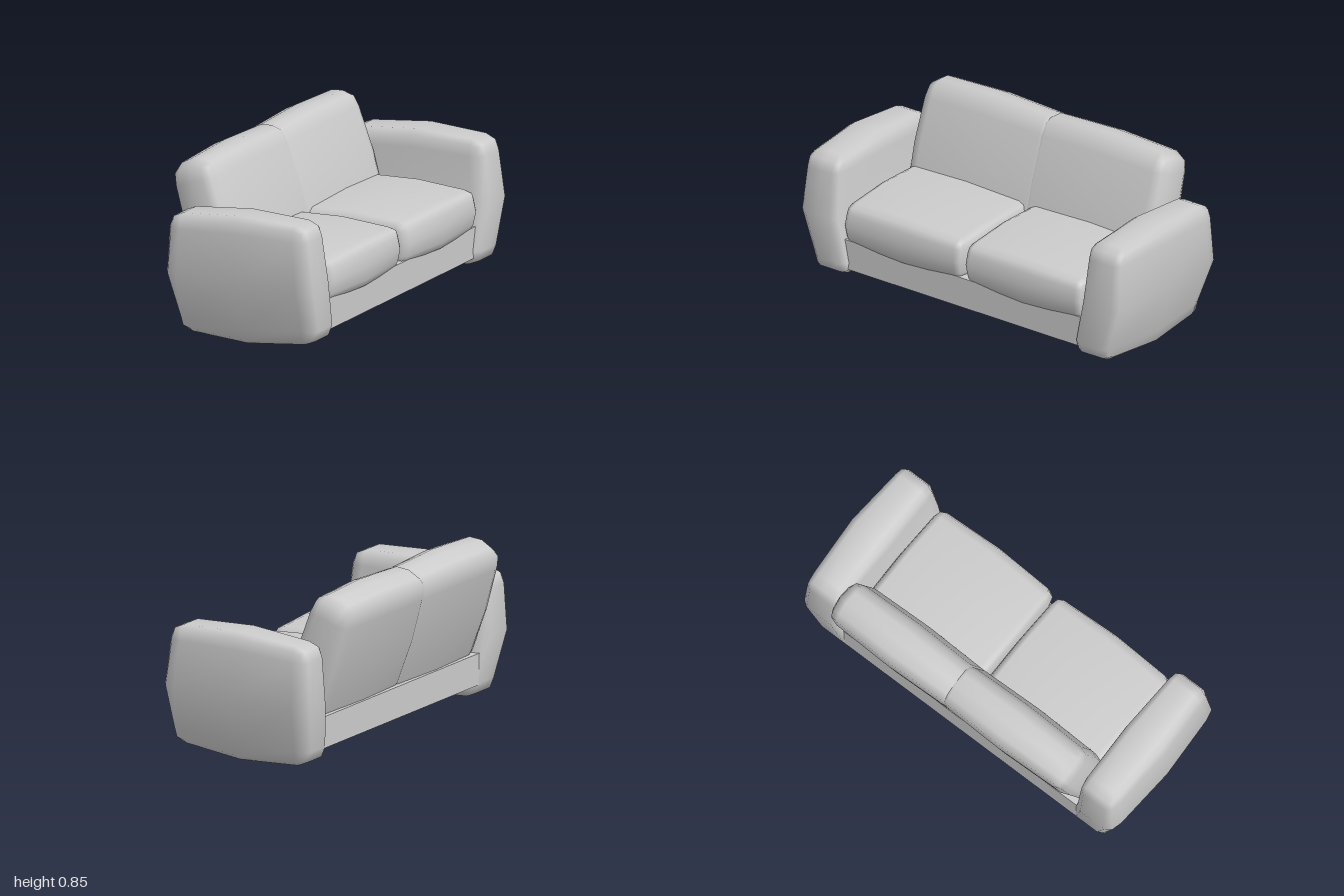
import * as THREE from 'three';
import { mergeVertices } from 'three/addons/utils/BufferGeometryUtils.js';

const material = new THREE.MeshStandardMaterial({ color: 0xcccccc, roughness: 0.8 });
const AXES = ['x', 'y', 'z'];
const lerp = THREE.MathUtils.lerp;

// Piecewise-linear value: a at t = -1, b at 0, c at 1
const bend = (a, b, c, t) => (t < 0 ? lerp(b, a, -t) : lerp(b, c, t));

// Soft box with half sizes h, corner radii r and a loop across each middle.
// warp(p, t) moves each point; t is -1..1 over the flat part of each side.
function softBox(name, h, r, warp) {
  let geo = new THREE.BoxGeometry(2, 2, 2, 4, 4, 4);
  geo.deleteAttribute('uv');
  geo.deleteAttribute('normal');
  geo = mergeVertices(geo);
  const pos = geo.attributes.position;
  const p = new THREE.Vector3();
  const t = new THREE.Vector3();
  for (let i = 0; i < pos.count; i++) {
    p.fromBufferAttribute(pos, i);
    const outer = AXES.filter((a) => Math.abs(p[a]) > 0.9).length;
    AXES.forEach((a, k) => {
      const onFace = Math.abs(p[a]) > 0.9;
      t[a] = THREE.MathUtils.clamp(p[a] * 2, -1, 1);
      p[a] = t[a] * (h[k] - r[k]) + (onFace ? (t[a] * r[k]) / Math.sqrt(outer) : 0);
    });
    warp(p, t);
    pos.setXYZ(i, p.x, p.y, p.z);
  }
  geo.computeVertexNormals();
  const mesh = new THREE.Mesh(geo, material);
  mesh.name = name;
  return mesh;
}

// Bulge of the three pairs of faces, strongest at their middles
function bulge(h, amount) {
  return (p, t) => {
    const m = AXES.map((a) => 1 - Math.abs(t[a]));
    const spread = [(m[1] + m[2]) / 2, (m[0] + m[2]) / 2, (m[0] + m[1]) / 2];
    AXES.forEach((a, k) => { p[a] += (p[a] / h[k]) * amount[k] * spread[k]; });
  };
}

// Thick armrest, leaning inwards below its widest point
function makeArm(side) {
  const h = [0.4, 0.325, 0.13];
  return softBox(side > 0 ? 'leftArm' : 'rightArm', h, [0.075, 0.08, 0.05], (p, t) => {
    const u = (p.x / h[0] + 1) / 2;
    const v = (p.y / h[1] + 1) / 2;
    const w = ((side * p.z) / h[2] + 1) / 2;
    const end = Math.abs(t.x);
    const inner = bend(0.68, 0.728, 0.745, t.y) + 0.008 * end;
    const outer = bend(0.925, 1.0, 0.985, t.y) - 0.02 * end;
    p.x = lerp(bend(-0.333, -0.367, -0.355, t.y), bend(0.455, 0.465, 0.435, t.y), u);
    p.y = lerp(bend(0.012, 0.003, 0.04, t.x), bend(0.632, 0.668, 0.66, t.x), v);
    p.z = side * lerp(inner, outer, w);
  });
}

function makeSeat(side) {
  const h = [0.32, 0.108, 0.357];
  const seat = softBox('seatCushion', h, [0.055, 0.045, 0.04], bulge(h, [0.025, 0.026, 0.008]));
  seat.position.set(0.11, 0.325, side * 0.368);
  return seat;
}

function makeBack(side) {
  const h = [0.12, 0.328, 0.395];
  const back = softBox('backCushion', h, [0.055, 0.1, 0.065], bulge(h, [0.018, 0.024, 0.012]));
  back.position.set(-0.27, 0.51, side * 0.345);
  back.rotation.z = THREE.MathUtils.degToRad(18);
  return back;
}

export function createModel() {
  const group = new THREE.Group();
  group.name = 'sofa';

  // Plain plinth between the arms
  const base = new THREE.Mesh(new THREE.BoxGeometry(0.75, 0.16, 1.5), material);
  base.name = 'base';
  base.position.set(0.045, 0.16, 0);
  group.add(base);

  for (const side of [1, -1]) group.add(makeArm(side), makeSeat(side), makeBack(side));
  return group;
}
